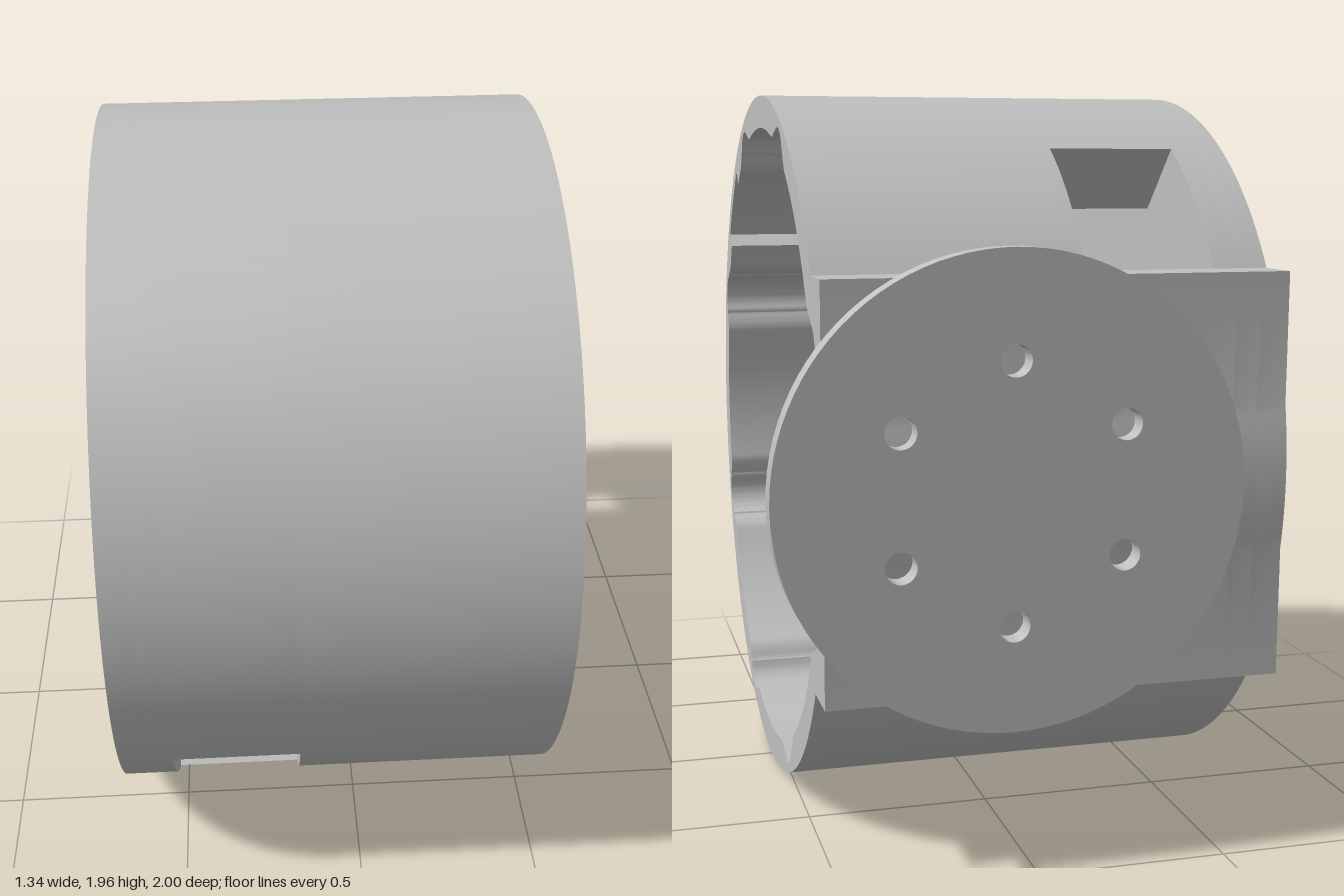
import * as THREE from 'three';
import { toCreasedNormals } from 'three/addons/utils/BufferGeometryUtils.js';

const RAD = Math.PI / 180;
const R = 0.978, WALL = 0.888, LEDGE = 0.754;      // outer, inner wall and ledge radii
const BACK = 0.96, POCKET = 0.955;                 // mount block face, pocket behind the bored wall
const X0 = -0.66, FLOOR = -0.515, SPLIT = -0.3, TOP = -0.17, RIM = 0.53;
const SLOT = 0.215, BOLT_R = 0.874, CY = 0.984, CZ = 0.02;
const BLOCK_A = Math.PI / 4 - Math.asin(SLOT / R); // angle where the block meets the cylinder
const BLOCK_H = R * Math.sin(BLOCK_A);

const P = (x, y) => new THREE.Vector2(x, y);
const polar = (r, a) => P(r * Math.cos(a), r * Math.sin(a));
function arc(r, a, b, n = 96) {
  return Array.from({ length: n + 1 }, (_, i) => polar(r, a + (b - a) * i / n));
}
const circle = (x, y, r, n = 32) =>
  new THREE.Path(Array.from({ length: n }, (_, i) => P(x, y).add(polar(r, i / n * 2 * Math.PI))));
const boltAngles = Array.from({ length: 8 }, (_, i) => (22.5 + 45 * i) * RAD);
const boltHole = (a, r) => { const p = polar(BOLT_R, a); return circle(p.x, p.y, r); };

// Radius of the inner wall: screw grooves with rounded mouths and one shallow recess
function wallRadius(a) {
  let r = WALL;
  for (const b of boltAngles) {
    if (Math.cos(a - b) < 0.9) continue;
    const t = Math.abs(BOLT_R * Math.sin(a - b));
    if (t < 0.075) r = Math.max(r, BOLT_R + Math.sqrt(0.075 ** 2 - t * t));
    if (t < 0.13) r = Math.max(r, WALL + 0.03 * Math.min(1, (0.13 - t) / 0.06) ** 2);
  }
  if (Math.abs(a - 135 * RAD) < 9.3 * RAD) r = Math.max(r, 0.94);
  return r;
}
const wallLine = (a, b, n) =>
  Array.from({ length: n + 1 }, (_, i) => { const t = a + (b - a) * i / n; return polar(wallRadius(t), t); });

// Rear sector of the inner wall as a depth over height
const SECTOR = 30.6 * RAD;
const rear = wallLine(-SECTOR, SECTOR, 300);
const V = rear[300].y;
function depthAt(v) {
  for (let i = 0; i < 300; i++) {
    const p = rear[i], q = rear[i + 1];
    if (v >= p.y && v <= q.y) return p.x + (q.x - p.x) * (v - p.y) / (q.y - p.y || 1);
  }
  return rear[300].x;
}

// Rear edge of the outer outline: block corners with the cylinder bulging between them
const bulge = Math.acos(BACK / R);
const blockEdge = [P(BACK, -BLOCK_H), ...arc(R, -bulge, bulge, 12), P(BACK, BLOCK_H)];

// Indexed grid of points, rows joined along their length
function loft(rows) {
  const n = rows[0].length, pos = rows.flat(2), index = [];
  for (let j = 0; j < rows.length - 1; j++) for (let i = 0; i < n - 1; i++) {
    const a = j * n + i, b = a + 1, c = a + n, d = c + 1;
    index.push(a, b, c, b, d, c);
  }
  const g = new THREE.BufferGeometry();
  g.setAttribute('position', new THREE.Float32BufferAttribute(pos, 3));
  g.setIndex(index);
  return g;
}

export function createModel() {
  const grey = new THREE.MeshStandardMaterial({ color: 0xc0c0c0, side: THREE.DoubleSide });
  grey.name = 'light grey';
  const root = new THREE.Group();
  root.name = 'motorHousing';
  // Inside this group: X points to the rear, Y up, Z along the cylinder axis
  const body = new THREE.Group();
  body.name = 'housingBody';
  body.rotation.y = Math.PI / 2;
  body.position.set(0, CY, CZ);
  root.add(body);

  const add = (parent, name, geometry) => {
    const m = new THREE.Mesh(toCreasedNormals(geometry, 0.5), grey);
    m.name = name;
    parent.add(m);
    return m;
  };
  const slab = (parent, name, points, holes, from, to) => {
    const shape = new THREE.Shape(points);
    shape.holes.push(...holes);
    const g = new THREE.ExtrudeGeometry(shape, { depth: to - from, bevelEnabled: false });
    return add(parent, name, g.translate(0, 0, from));
  };
  const outline = [...arc(R, BLOCK_A, 2 * Math.PI - BLOCK_A, 160), ...blockEdge];

  // Floor: counterbored screw holes, hexagonal nut pocket and a centre hole
  slab(body, 'floorOuter', outline,
    [...boltAngles.map(a => boltHole(a, 0.062)), circle(0, 0, 0.05)], X0, -0.58);
  slab(body, 'floorInner', outline,
    [...boltAngles.map(a => boltHole(a, 0.037)), circle(0, 0, 0.0865, 6)], -0.58, FLOOR);
  slab(body, 'centreBoss', arc(0.175, 0, 2 * Math.PI, 64).slice(1), [circle(0, 0, 0.05)], X0 - 0.01, X0);

  // Ledge: two half rings parted by the two diagonal windows
  const bi = Math.asin(SLOT / LEDGE), bo = Math.asin(SLOT / R);
  const a0 = -135 * RAD, a1 = 45 * RAD;
  const holesIn = (lo, hi) => boltAngles
    .map(a => (a > lo + 2 * Math.PI ? a - 2 * Math.PI : a))
    .filter(a => a > lo && a < hi).map(a => boltHole(a, 0.037));
  slab(body, 'frontLedge',
    [...arc(R, a1 + bo, 225 * RAD - bo), ...arc(LEDGE, 225 * RAD - bi, a1 + bi)],
    holesIn(a1, 225 * RAD), FLOOR, TOP);
  const rearOuter = [...arc(R, a0 + bo, -BLOCK_A), ...blockEdge, polar(R, BLOCK_A)];
  slab(body, 'rearLedgeLower', [...rearOuter, ...arc(LEDGE, a1 - bi, a0 + bi)],
    holesIn(a0, a1), FLOOR, SPLIT);
  const NOTCH = 0.26, an = Math.asin(NOTCH / LEDGE);
  slab(body, 'rearLedgeUpper', [...rearOuter, ...arc(LEDGE, a1 - bi, an, 24),
    P(POCKET, NOTCH), P(POCKET, -NOTCH), ...arc(LEDGE, -an, a0 + bi)],
    holesIn(a0, a1), SPLIT, TOP);

  // Ledge section scooped out by the two nearest bores
  const BORE = 0.08, PILOT = 0.037, BX = 0.07, BR = 0.326;
  const scoop = new THREE.BoxGeometry(1, 2 * NOTCH, 1, 1, 104, 1);
  const sp = scoop.attributes.position;
  for (let i = 0; i < sp.count; i++) {
    const v = sp.getY(i), t = Math.abs(v) - BR / 2;
    const top = Math.abs(t) < BORE
      ? BX - BR * Math.cos(Math.PI / 6) - Math.sqrt(BORE * BORE - t * t) : TOP;
    sp.setXYZ(i, sp.getX(i) < 0 ? Math.sqrt(LEDGE ** 2 - v * v) : depthAt(v), v,
      sp.getZ(i) < 0 ? SPLIT : Math.max(top, SPLIT + 0.001));
  }
  add(body, 'scoopedLedge', scoop);

  // Outer wall, with a pocket behind the bored rear section
  const inner = [...wallLine(SECTOR, 2 * Math.PI - SECTOR, 720), P(POCKET, -V), P(POCKET, V)];
  slab(body, 'wall', outline, [new THREE.Path(inner)], TOP, RIM);
  const cap = new THREE.ShapeGeometry(new THREE.Shape([...rear, P(POCKET, V), P(POCKET, -V)]));
  add(body, 'rearRim', cap.translate(0, 0, RIM));

  // Rear wall cells, each with a counterbore and pilot hole
  function boreCell(x0, x1, v0, v1, cx, cv) {
    const n = 20, corners = [P(x0, v0), P(x1, v0), P(x1, v1), P(x0, v1), P(x0, v0)], edge = [];
    for (let s = 0; s < 4; s++) for (let i = 0; i < n; i++)
      edge.push(corners[s].clone().lerp(corners[s + 1], i / n));
    edge.push(corners[0]);
    const onCircle = (p, r) => p.clone().sub(P(cx, cv)).setLength(r).add(P(cx, cv));
    const rows = [];
    for (let k = 0; k <= 8; k++) rows.push(edge.map(p => {
      const q = p.clone().lerp(onCircle(p, BORE), k / 8);
      return [depthAt(q.y), q.y, q.x];
    }));
    for (const [r, u] of [[BORE, 0.92], [PILOT, 0.92], [PILOT, POCKET]])
      rows.push(edge.map(p => { const q = onCircle(p, r); return [u, q.y, q.x]; }));
    add(body, 'screwBore', loft(rows));
  }
  const dx = BR * Math.cos(Math.PI / 6), M = 0.245;
  for (const s of [-1, 1]) {
    const lo = s > 0 ? 0 : -M, hi = s > 0 ? M : 0;
    boreCell(SPLIT, BX, lo, hi, BX - dx, s * BR / 2);
    boreCell(BX, RIM, lo, hi, BX + dx, s * BR / 2);
    const g0 = s > 0 ? M : -V, g1 = s > 0 ? V : -M;
    boreCell(BX - 0.1, BX + 0.1, g0, g1, BX, s * BR);
    for (const [xa, xb] of [[SPLIT, BX - 0.1], [BX + 0.1, RIM]])
      add(body, 'groovedWall', loft([xa, xb].map(x => Array.from({ length: 61 }, (_, i) => {
        const v = g0 + (g1 - g0) * i / 60;
        return [depthAt(v), v, x];
      }))));
  }

  // Round mounting flange on the back with six screw holes
  const flangeHoles = Array.from({ length: 6 }, (_, i) => {
    const p = polar(BR, (30 + 60 * i) * RAD);
    return circle(p.x, p.y, 0.04);
  });
  slab(root, 'mountingFlange', arc(0.595, 0, 2 * Math.PI, 96).slice(1), flangeHoles, -1, -0.938)
    .position.set(BX, CY, 0);
  return root;
}
